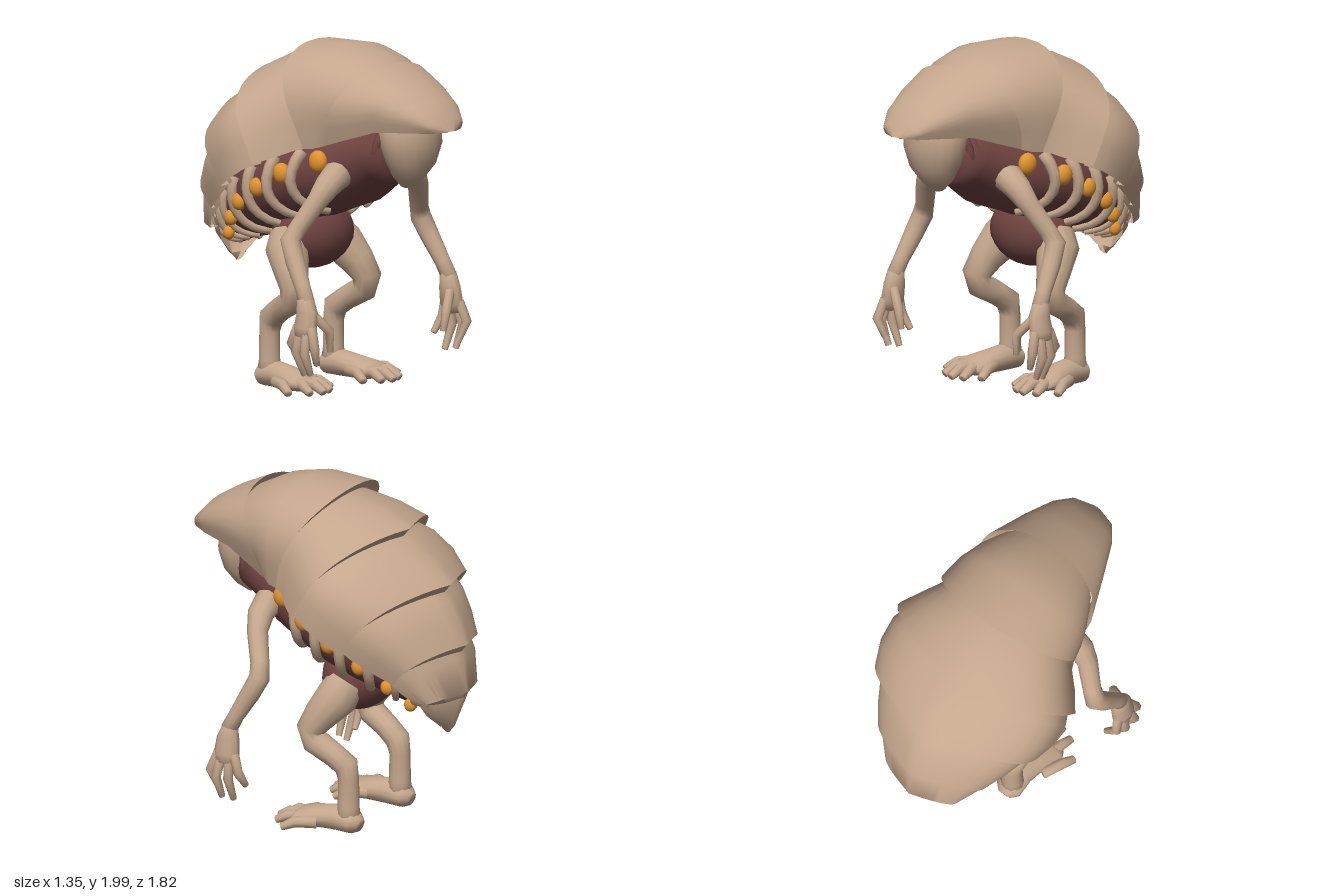
import * as THREE from 'three';
import { toCreasedNormals } from 'three/addons/utils/BufferGeometryUtils.js';

const V = (x, y, z) => new THREE.Vector3(x, y, z);
const X = V(1, 0, 0), Z = V(0, 0, 1);

// Grid of quads; each row holds n points
function grid(rows, closed, caps) {
  const n = rows[0].length, pos = [], idx = [];
  rows.forEach(r => r.forEach(p => pos.push(p.x, p.y, p.z)));
  for (let i = 0; i < rows.length - 1; i++) {
    for (let j = 0; j < (closed ? n : n - 1); j++) {
      const k = (j + 1) % n, a = i * n + j, b = i * n + k;
      idx.push(a, b, a + n, b, b + n, a + n);
    }
  }
  if (caps) {
    const s = rows.length * n, last = s - n;
    caps.forEach(p => pos.push(p.x, p.y, p.z));
    for (let j = 0; j < n; j++) {
      const k = (j + 1) % n;
      idx.push(s, k, j, s + 1, last + j, last + k);
    }
  }
  const g = new THREE.BufferGeometry();
  g.setAttribute('position', new THREE.Float32BufferAttribute(pos, 3));
  g.setIndex(idx);
  g.computeVertexNormals();
  return g;
}

// Point on the ring around path point i; entries are [x, y, z, rx, ry?]
function ringPoint(path, i, ang, ref) {
  const at = k => V(...path[Math.min(Math.max(k, 0), path.length - 1)].slice(0, 3));
  const t = at(i + 1).sub(at(i - 1)).normalize();
  const n1 = ref.clone().addScaledVector(t, -ref.dot(t)).normalize();
  const n2 = t.clone().cross(n1);
  const [, , , rx, ry = rx] = path[i];
  return at(i).addScaledVector(n1, Math.cos(ang) * rx).addScaledVector(n2, Math.sin(ang) * ry);
}

function tube(path, sides = 10, ref = X) {
  const rows = path.map((p, i) => Array.from({ length: sides }, (_, j) =>
    ringPoint(path, i, j / sides * Math.PI * 2, ref)));
  return grid(rows, true, [V(...path[0]), V(...path[path.length - 1])]);
}

// Arched plate; rows are [topZ, topY, halfWidth, edgeZ, edgeY], front to back.
// Swept plates run forward evenly from spine to edge, others stay flat on top.
function plate(rows, swept) {
  const max = (swept ? 100 : 115) * Math.PI / 180, seg = 20, end = Math.cos(max);
  const [lz, ly, lw, lez, ley] = rows[rows.length - 1];
  const all = [...rows, [lz + 0.04, ly - 0.05, lw - 0.04, lez + 0.03, ley + 0.01]];
  const pts = all.map(([tz, ty, w, ez, ey]) => Array.from({ length: seg + 1 }, (_, j) => {
    const k = j / seg * 2 - 1, a = k * max;
    const u = Math.max(0, (Math.cos(a) - end) / (1 - end));
    const v = swept ? Math.pow(1 - Math.abs(k), 0.8) : u;
    return V(w * Math.sin(a), ey + (ty - ey) * Math.pow(u, swept ? 0.62 : 0.72), ez + (tz - ez) * v);
  }));
  return toCreasedNormals(grid(pts, false), 0.9);
}

export function createModel() {
  const root = new THREE.Group();
  root.name = 'shelledCreature';
  const mat = (name, color, side = THREE.FrontSide) => {
    const m = new THREE.MeshStandardMaterial({ color, side });
    m.name = name;
    return m;
  };
  const tan = mat('tanHide', 0xc4a68c, THREE.DoubleSide);
  const maroon = mat('maroonFlesh', 0x6e4340);
  const orange = mat('orangeGland', 0xe0922f);
  const add = (name, geo, m, parent = root) => {
    const mesh = new THREE.Mesh(geo, m);
    mesh.name = name;
    parent.add(mesh);
    return mesh;
  };
  const ball = (name, m, p, s, parent) => {
    const b = add(name, new THREE.SphereGeometry(1, 18, 14), m, parent);
    b.position.set(...p);
    b.scale.set(...s);
    return b;
  };

  // Shell plates from brow to tail
  const hood = {
    browPlate: [[0.91, 1.58, 0.03, 0.905, 1.575], [0.87, 1.65, 0.14, 0.86, 1.575], [0.78, 1.745, 0.21, 0.76, 1.575],
      [0.64, 1.835, 0.29, 0.55, 1.56], [0.47, 1.918, 0.39, 0.25, 1.46]],
    hoodPlate: [[0.5, 1.87, 0.34, 0.3, 1.48], [0.34, 1.955, 0.39, 0.24, 1.455], [0.15, 1.998, 0.425, 0.19, 1.44],
      [-0.14, 1.985, 0.445, 0.13, 1.435]],
  };
  const back = {
    shoulderPlate: [[0.1, 1.93, 0.38, 0.2, 1.45], [-0.14, 1.925, 0.43, 0.08, 1.42], [-0.35, 1.875, 0.51, 0, 1.38],
      [-0.51, 1.8, 0.585, -0.1, 1.34]],
    backPlate: [[-0.38, 1.77, 0.53, -0.08, 1.34], [-0.52, 1.72, 0.575, -0.18, 1.3], [-0.67, 1.635, 0.57, -0.3, 1.23],
      [-0.79, 1.52, 0.53, -0.4, 1.17]],
    lowerBackPlate: [[-0.68, 1.5, 0.5, -0.34, 1.2], [-0.78, 1.42, 0.48, -0.42, 1.14], [-0.85, 1.31, 0.43, -0.52, 1.07],
      [-0.9, 1.18, 0.36, -0.64, 0.99]],
    rumpPlate: [[-0.82, 1.23, 0.36, -0.56, 1.03], [-0.88, 1.1, 0.32, -0.67, 0.93], [-0.91, 0.9, 0.25, -0.75, 0.85]],
    tailPlate: [[-0.86, 0.98, 0.23, -0.7, 0.88], [-0.88, 0.85, 0.17, -0.74, 0.77], [-0.82, 0.68, 0.06, -0.76, 0.68]],
  };
  for (const [name, rows] of Object.entries(hood)) add(name, plate(rows, false), tan);
  for (const [name, rows] of Object.entries(back)) add(name, plate(rows, true), tan);

  // Head, torso and pelvis
  add('head', tube([[0, 1.68, 0.57, 0.15, 0.13], [0, 1.57, 0.58, 0.2, 0.165], [0, 1.47, 0.59, 0.195, 0.16],
    [0, 1.37, 0.585, 0.16, 0.135], [0, 1.28, 0.565, 0.1, 0.085], [0, 1.22, 0.55, 0.03, 0.03]], 18), tan);
  const torso = [[0, 1.42, 0.52, 0.2, 0.16], [0, 1.41, 0.4, 0.24, 0.19], [0, 1.32, 0.2, 0.29, 0.24], [0, 1.28, 0, 0.38, 0.27],
    [0, 1.2, -0.2, 0.415, 0.27], [0, 1.1, -0.4, 0.38, 0.25], [0, 0.98, -0.6, 0.28, 0.2], [0, 0.86, -0.74, 0.18, 0.12],
    [0, 0.78, -0.79, 0.1, 0.07]];
  add('torso', tube(torso, 24), maroon);
  ball('pelvis', maroon, [0, 0.87, -0.18], [0.265, 0.205, 0.2]);

  // Throat folds
  for (let i = 0; i < 5; i++) {
    const fold = add('throatFold', new THREE.TorusGeometry(1, 0.12, 8, 24), maroon);
    fold.position.set(0, 1.43 - i * 0.035, 0.49 - i * 0.065);
    fold.scale.set(0.19 + i * 0.012, 0.175 + i * 0.012, 0.2);
    fold.rotation.x = 0.15 + i * 0.07;
  }

  const surface = (s, ang) => {
    const i = Math.min(Math.floor(s), torso.length - 2);
    return ringPoint(torso, i, ang, X).lerp(ringPoint(torso, i + 1, ang, X), s - i);
  };
  const glands = [[0.3, 1.35, 0.15], [0.39, 1.27, -0.05], [0.405, 1.17, -0.23], [0.365, 1.06, -0.41],
    [0.285, 0.94, -0.55], [0.2, 0.83, -0.65]];

  for (const sx of [1, -1]) {
    const side = sx > 0 ? 'left' : 'right';
    const flip = path => path.map(([x, ...rest]) => [x * sx, ...rest]);
    const group = name => {
      const g = new THREE.Group();
      g.name = side + name;
      root.add(g);
      return g;
    };

    // Ribs hugging the torso, bowing backward at the flank
    const ribs = group('Ribs');
    for (const s0 of [2.6, 3.4, 4.2, 5.0, 5.7, 6.3, 6.85]) {
      const path = [];
      for (let k = 0; k <= 8; k++) {
        const u = k / 8, p = surface(s0 + 0.5 * Math.sin(u * 2.5), (-25 + 92 * u) * Math.PI / 180);
        path.push([p.x * 1.03, p.y - 0.008 * u, p.z, (0.036 - 0.013 * u) * (s0 > 5.5 ? 0.75 : 1)]);
      }
      add('rib', tube(flip(path), 8, Z), tan, ribs);
    }

    // Glowing glands between the ribs
    glands.forEach(([x, y, z], i) => {
      const r = 0.065 - i * 0.005;
      ball(side + 'Gland', orange, [x * sx, y, z], [0.045 - i * 0.003, r, r * 0.92]);
    });

    // Arm and hand
    const arm = group('Arm');
    add('arm', tube(flip([[0.2, 1.27, 0.25, 0.07], [0.28, 1.28, 0.27, 0.085], [0.35, 1.23, 0.27, 0.075], [0.41, 1.15, 0.25, 0.06],
      [0.49, 1.0, 0.18, 0.054], [0.53, 0.93, 0.155, 0.06], [0.55, 0.82, 0.21, 0.056], [0.57, 0.68, 0.29, 0.046],
      [0.58, 0.6, 0.33, 0.048]]), 12, Z), tan, arm);
    add('palm', tube(flip([[0.58, 0.62, 0.32, 0.05, 0.045], [0.58, 0.54, 0.335, 0.055, 0.07],
      [0.595, 0.45, 0.335, 0.055, 0.08], [0.61, 0.4, 0.335, 0.04, 0.06]]), 10), tan, arm);
    for (const [a, b, c] of [
      [[0.6, 0.46, 0.39], [0.62, 0.35, 0.43], [0.58, 0.25, 0.41]],
      [[0.61, 0.44, 0.36], [0.645, 0.32, 0.375], [0.59, 0.19, 0.37]],
      [[0.61, 0.44, 0.31], [0.635, 0.32, 0.3], [0.57, 0.18, 0.305]],
      [[0.6, 0.46, 0.28], [0.615, 0.36, 0.245], [0.55, 0.27, 0.235]],
      [[0.56, 0.53, 0.36], [0.475, 0.43, 0.41], [0.46, 0.31, 0.4]],
    ]) add('finger', tube(flip([[...a, 0.028], [...b, 0.028], [...c, 0.018]]), 8), tan, arm);

    // Leg, foot and toes
    const leg = group('Leg');
    add('leg', tube(flip([[0.17, 0.87, -0.2, 0.11], [0.22, 0.79, -0.17, 0.125], [0.27, 0.68, -0.09, 0.1], [0.295, 0.59, -0.04, 0.085],
      [0.29, 0.52, -0.06, 0.078], [0.275, 0.46, -0.17, 0.07], [0.26, 0.4, -0.255, 0.072], [0.26, 0.32, -0.27, 0.06],
      [0.26, 0.16, -0.27, 0.062], [0.26, 0.06, -0.27, 0.075]]), 12), tan, leg);
    add('foot', tube(flip([[0.26, 0.06, -0.35, 0.04, 0.04], [0.26, 0.07, -0.31, 0.08, 0.065], [0.26, 0.08, -0.2, 0.08, 0.075],
      [0.27, 0.07, -0.08, 0.095, 0.065], [0.28, 0.06, 0.02, 0.125, 0.05], [0.28, 0.05, 0.06, 0.1, 0.03]]), 14), tan, leg);
    for (const [x, z] of [[0.13, 0.09], [0.21, 0.16], [0.285, 0.18], [0.365, 0.15], [0.45, 0.06]]) {
      const at = f => 0.275 + (x - 0.275) * f;
      add('toe', tube(flip([[at(0.5), 0.06, z - 0.18, 0.035], [at(0.82), 0.06, z - 0.07, 0.033],
        [at(1), 0.025, z, 0.025, 0.022]]), 8), tan, leg);
    }
  }
  return root;
}
